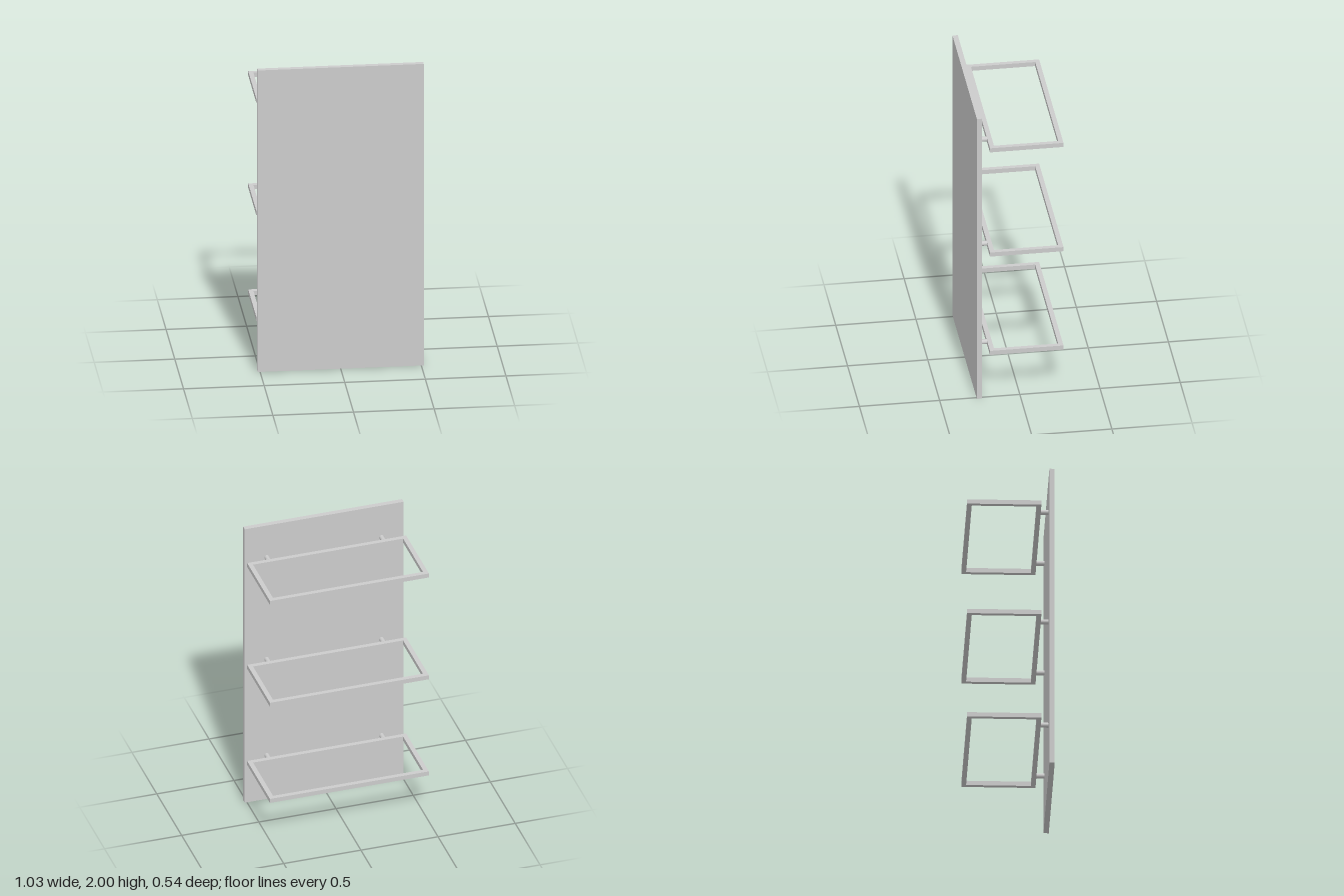
import * as THREE from 'three';

const WIDTH = 1.03;
const BAR = 0.029; // thickness of the frame bars
const FRAME_BACK = -0.27, FRAME_FRONT = 0.188;
const PANEL_BACK = 0.237, PANEL_FRONT = 0.27;

export function createModel() {
  const model = new THREE.Group();
  model.name = 'wallRack';
  const material = new THREE.MeshStandardMaterial({ color: 0xcccccc });

  const add = (parent, name, geometry, x, y, z) => {
    const mesh = new THREE.Mesh(geometry, material);
    mesh.name = name;
    mesh.position.set(x, y, z);
    parent.add(mesh);
    return mesh;
  };

  // Upright front panel
  add(model, 'panel', new THREE.BoxGeometry(WIDTH, 2, PANEL_FRONT - PANEL_BACK),
    0, 1, (PANEL_BACK + PANEL_FRONT) / 2);

  // Rectangular rail frame, drawn flat with a hole and extruded upwards
  const rect = (path, hw, y0, y1) => path.moveTo(-hw, y0).lineTo(hw, y0)
    .lineTo(hw, y1).lineTo(-hw, y1).closePath();
  const outline = rect(new THREE.Shape(), WIDTH / 2, -FRAME_FRONT, -FRAME_BACK);
  outline.holes.push(rect(new THREE.Path(), WIDTH / 2 - BAR, -FRAME_FRONT + BAR, -FRAME_BACK - BAR));
  const frameGeometry = new THREE.ExtrudeGeometry(outline, { depth: BAR, bevelEnabled: false });
  frameGeometry.rotateX(-Math.PI / 2).translate(0, -BAR / 2, 0);

  // Round spacer between frame and panel
  const pegGeometry = new THREE.CylinderGeometry(0.0155, 0.0155, PANEL_BACK - FRAME_FRONT, 32);
  pegGeometry.rotateX(Math.PI / 2);

  // Three rails, each held by two pegs
  for (const [name, y] of [['lowerRail', 0.321], ['middleRail', 1.024], ['upperRail', 1.769]]) {
    const rail = new THREE.Group();
    rail.name = name;
    rail.position.y = y;
    add(rail, 'railFrame', frameGeometry, 0, 0, 0);
    for (const side of [-1, 1]) {
      add(rail, side > 0 ? 'leftPeg' : 'rightPeg', pegGeometry,
        side * 0.372, 0, (FRAME_FRONT + PANEL_BACK) / 2);
    }
    model.add(rail);
  }
  return model;
}
